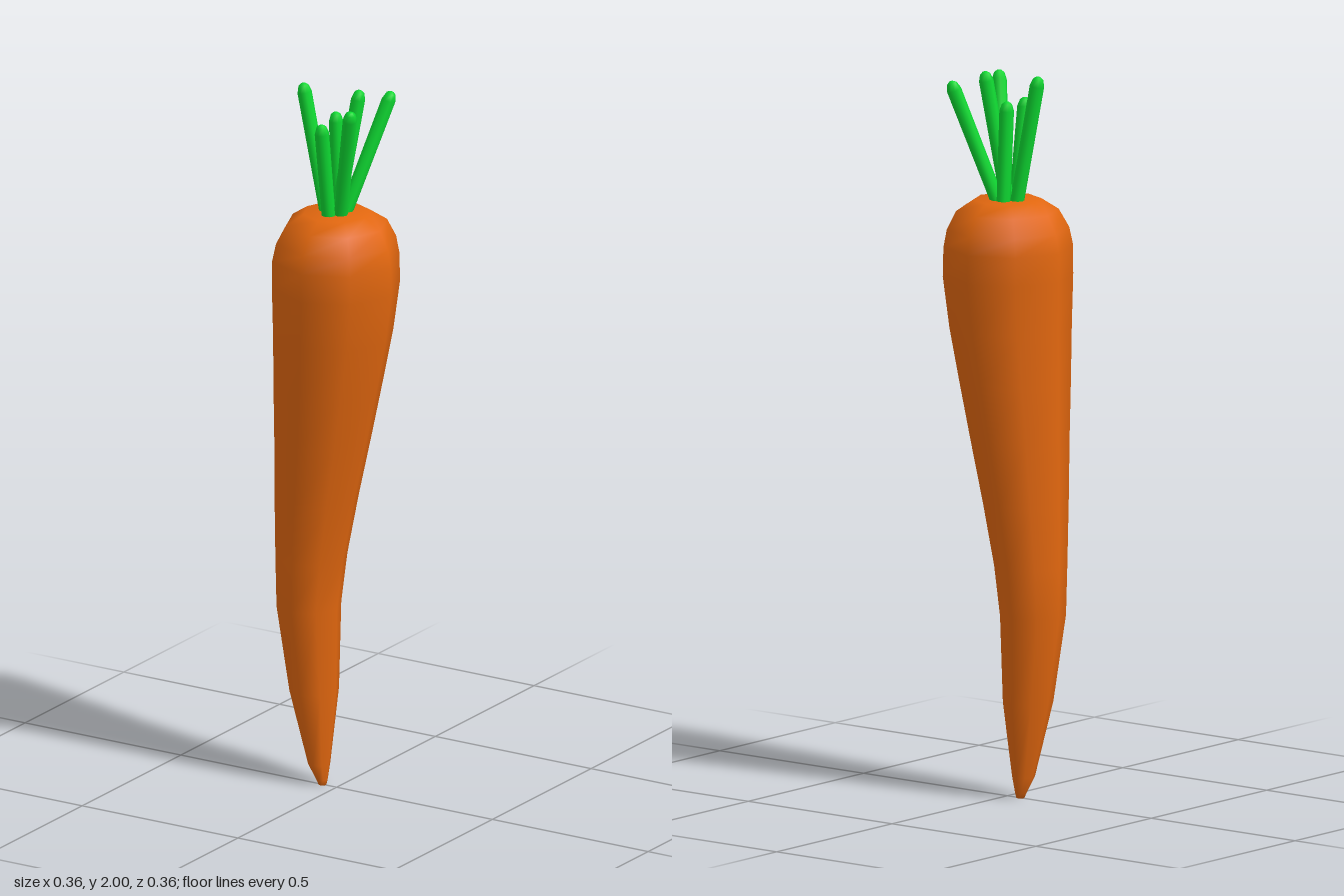
import * as THREE from 'three';

const orange = new THREE.MeshStandardMaterial({ color: 0xe2670f });
orange.name = 'carrotOrange';
const green = new THREE.MeshStandardMaterial({ color: 0x0edb32 });
green.name = 'leafGreen';

// Smooth skin over regular rings [y, centre x, radius], listed bottom to top, closed at both ends
function ringSkin(rings, sides) {
  const positions = [], index = [];
  for (const [y, cx, r] of rings) {
    for (let i = 0; i < sides; i++) {
      const a = (i / sides) * Math.PI * 2;
      positions.push(cx + r * Math.cos(a), y, r * Math.sin(a));
    }
  }
  for (let k = 0; k < rings.length - 1; k++) {
    for (let i = 0; i < sides; i++) {
      const a = k * sides + i, b = k * sides + (i + 1) % sides;
      index.push(a, a + sides, b, b, a + sides, b + sides);
    }
  }
  const last = rings.length - 1;
  const bottom = positions.length / 3, top = bottom + 1;
  positions.push(rings[0][1], rings[0][0], 0, rings[last][1], rings[last][0], 0);
  for (let i = 0; i < sides; i++) {
    const j = (i + 1) % sides;
    index.push(bottom, i, j, top, last * sides + j, last * sides + i);
  }
  const geometry = new THREE.BufferGeometry();
  geometry.setAttribute('position', new THREE.Float32BufferAttribute(positions, 3));
  geometry.setIndex(index);
  geometry.computeVertexNormals();
  return geometry;
}

// Round-tipped stem leaning from base to tip
function stem(base, tip) {
  const from = new THREE.Vector3(...base);
  const direction = new THREE.Vector3(...tip).sub(from);
  const h = direction.length();
  const geometry = ringSkin([[0, 0, 0.019], [h - 0.025, 0, 0.02], [h - 0.006, 0, 0.014], [h, 0, 0.006]], 8);
  const mesh = new THREE.Mesh(geometry, green);
  mesh.position.copy(from);
  mesh.quaternion.setFromUnitVectors(new THREE.Vector3(0, 1, 0), direction.normalize());
  return mesh;
}

export function createModel() {
  const model = new THREE.Group();
  model.name = 'carrot';

  // Eight-sided root, bending to one side as it tapers
  const root = new THREE.Mesh(ringSkin([
    [0, -0.045, 0.011], [0.015, -0.047, 0.016], [0.06, -0.056, 0.031],
    [0.27, -0.072, 0.069], [0.51, -0.089, 0.09], [0.65, -0.081, 0.1],
    [0.82, -0.064, 0.117], [1.0, -0.043, 0.136], [1.15, -0.027, 0.152],
    [1.3, -0.011, 0.167], [1.44, -0.002, 0.178], [1.52, -0.003, 0.177],
    [1.57, -0.002, 0.167], [1.62, 0, 0.14], [1.65, 0, 0.093],
  ], 8), orange);
  root.name = 'root';
  model.add(root);

  // Stems fanning out of the crown
  const stems = new THREE.Group();
  stems.name = 'stems';
  [
    [[-0.03, 1.63, 0], [-0.108, 2.0, 0]],
    [[0.01, 1.63, -0.02], [0.103, 1.98, -0.117]],
    [[0.015, 1.63, 0.005], [0.103, 1.98, 0.092]],
    [[0.005, 1.63, 0.01], [0.055, 2.0, -0.03]],
    [[-0.01, 1.63, -0.03], [-0.02, 1.925, -0.027]],
    [[-0.005, 1.63, 0.03], [-0.002, 1.92, 0.075]],
  ].forEach(([base, tip], i) => {
    const mesh = stem(base, tip);
    mesh.name = `stem${i + 1}`;
    stems.add(mesh);
  });
  model.add(stems);
  return model;
}
